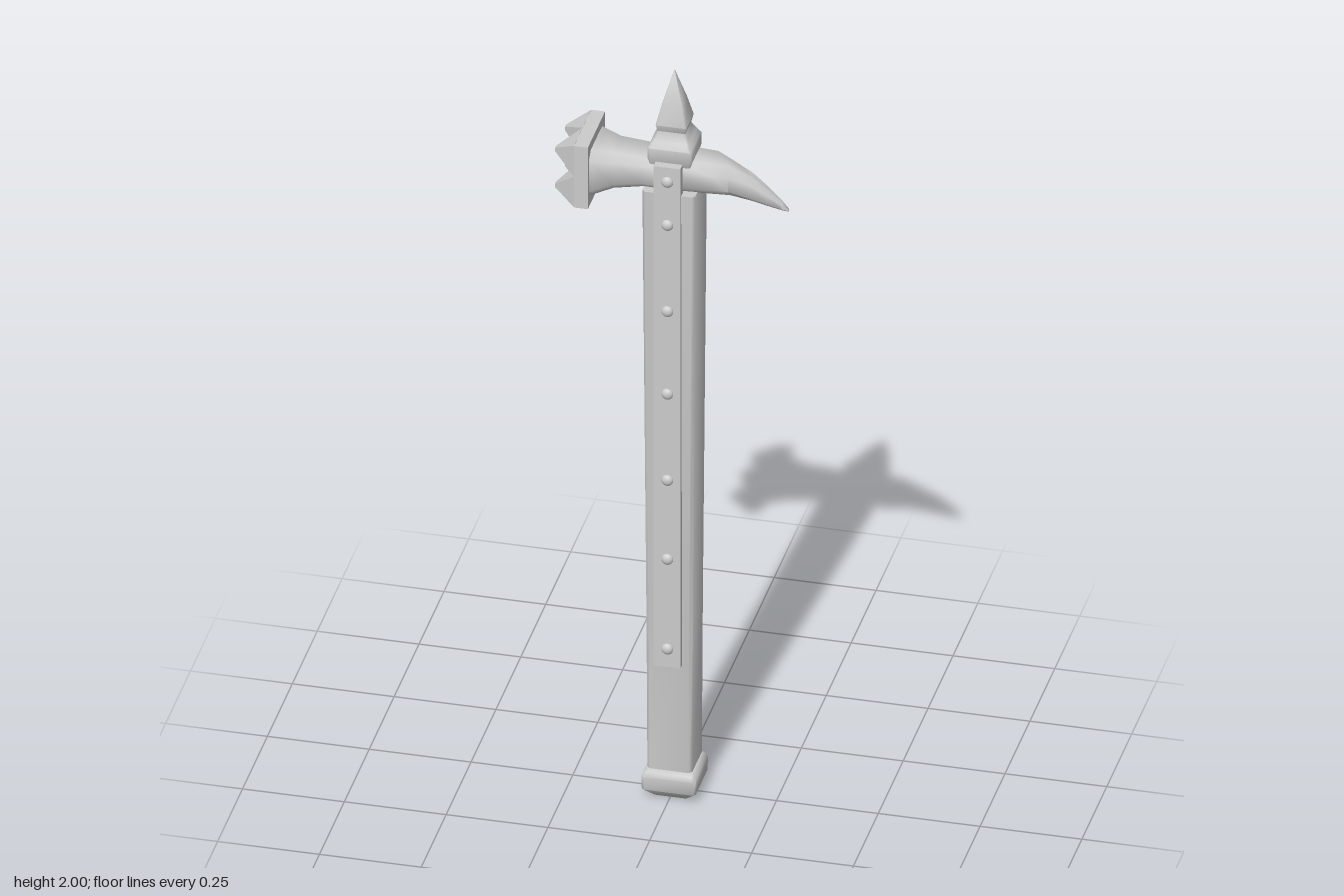
import * as THREE from 'three';
import { toCreasedNormals } from 'three/addons/utils/BufferGeometryUtils.js';

const material = new THREE.MeshStandardMaterial({ color: 0xcccccc, side: THREE.DoubleSide });

function part(group, name, geometry, x = 0, y = 0, z = 0) {
  const mesh = new THREE.Mesh(geometry, material);
  mesh.name = name;
  mesh.position.set(x, y, z);
  group.add(mesh);
  return mesh;
}

// Corners of a rectangle with chamfered edges, counter-clockwise in its own plane
function ring(a, b, c) {
  return [[a, b - c], [a - c, b], [c - a, b], [-a, b - c], [-a, c - b], [c - a, -b], [a - c, -b], [a, c - b]];
}

// Skin over rings of 3D points, closed with a cap at each end
function loft(rings, crease = 0.9) {
  const pos = [];
  const n = rings[0].length;
  const tri = (...pts) => pts.forEach((p) => pos.push(...p));
  for (let i = 0; i < rings.length - 1; i++) {
    const p = rings[i], q = rings[i + 1];
    for (let j = 0; j < n; j++) {
      const k = (j + 1) % n;
      tri(p[j], p[k], q[k]);
      tri(p[j], q[k], q[j]);
    }
  }
  const first = rings[0], last = rings[rings.length - 1];
  for (let j = 1; j < n - 1; j++) {
    tri(first[0], first[j + 1], first[j]);
    tri(last[0], last[j], last[j + 1]);
  }
  const geometry = new THREE.BufferGeometry();
  geometry.setAttribute('position', new THREE.Float32BufferAttribute(pos, 3));
  return toCreasedNormals(geometry, crease);
}

// Upright square loft; each section is [y, half width, chamfer]
const upright = (sections) =>
  loft(sections.map(([y, h, c]) => ring(h, h, c).map(([u, v]) => [v, y, u])));

// Sideways loft; each section is [x, bottom, top, half depth, chamfer]
const sideways = (sections) =>
  loft(sections.map(([x, lo, hi, d, c]) =>
    ring((hi - lo) / 2, d, c).map(([u, v]) => [x, (lo + hi) / 2 + u, v])));

export function createModel() {
  const model = new THREE.Group();
  model.name = 'warHammer';

  // Handle
  part(model, 'shaft', upright([[0.06, 0.055, 0.007], [0.5, 0.057, 0.007], [1.69, 0.065, 0.007]]));
  part(model, 'pommel', upright([
    [0, 0.042, 0.004], [0.025, 0.066, 0.006], [0.06, 0.067, 0.006], [0.073, 0.062, 0.006], [0.08, 0.055, 0.005],
  ]));

  // Riveted metal straps on the front and back
  const rivetHeights = [0.43, 0.68, 0.9, 1.14, 1.37, 1.61, 1.73];
  for (const side of [1, -1]) {
    const name = side > 0 ? 'front' : 'back';
    part(model, name + 'Strap', new THREE.BoxGeometry(0.066, 1.39, 0.026), -0.001, 1.075, side * 0.061);
    for (const y of rivetHeights) {
      const rivet = part(model, name + 'Rivet', new THREE.SphereGeometry(0.015, 14, 10), 0, y, side * 0.073);
      rivet.scale.z = 0.7;
    }
  }

  // Head: neck flaring towards the striking face
  part(model, 'hammerNeck', sideways([
    [-0.2, 1.655, 1.785, 0.078, 0.02],
    [-0.185, 1.66, 1.78, 0.076, 0.02],
    [-0.14, 1.674, 1.773, 0.059, 0.02],
    [-0.07, 1.688, 1.768, 0.054, 0.016],
    [0.02, 1.688, 1.77, 0.054, 0.014],
  ]));

  // Curved beak
  part(model, 'beak', sideways([
    [0.0, 1.688, 1.77, 0.054, 0.014],
    [0.1, 1.687, 1.77, 0.053, 0.022],
    [0.14, 1.68, 1.759, 0.036, 0.02],
    [0.19, 1.668, 1.735, 0.025, 0.016],
    [0.23, 1.657, 1.703, 0.017, 0.011],
    [0.265, 1.648, 1.67, 0.009, 0.006],
    [0.28, 1.645, 1.653, 0.002, 0.001],
  ]));

  // Striking face: a square plate carrying four blunt prongs
  const face = new THREE.Group();
  face.name = 'strikingFace';
  face.position.y = 1.72;
  model.add(face);
  part(face, 'facePlate', new THREE.BoxGeometry(0.034, 0.171, 0.173), -0.209, 0, 0);
  const square = (x, cy, cz, h) =>
    [[-h, -h], [-h, h], [h, h], [h, -h]].map(([u, v]) => [x, cy + u, cz + v]);
  for (const sy of [1, -1]) {
    for (const sz of [1, -1]) {
      const prong = loft([
        square(-0.226, sy * 0.043, sz * 0.043, 0.043),
        square(-0.28, sy * 0.05, sz * 0.05, 0.005),
      ], 0.3);
      part(face, 'prong', prong);
    }
  }

  // Square collar and top spike
  part(model, 'collar', upright([
    [1.76, 0.05, 0.004], [1.775, 0.054, 0.004], [1.805, 0.054, 0.004],
    [1.822, 0.044, 0.004], [1.84, 0.034, 0.003], [1.85, 0.033, 0.003],
  ]));
  part(model, 'topSpike', upright([
    [1.845, 0.034, 0.002], [1.862, 0.038, 0.002], [1.92, 0.024, 0.0015], [1.975, 0.008, 0.001], [2, 0.001, 0.0003],
  ]));

  return model;
}
